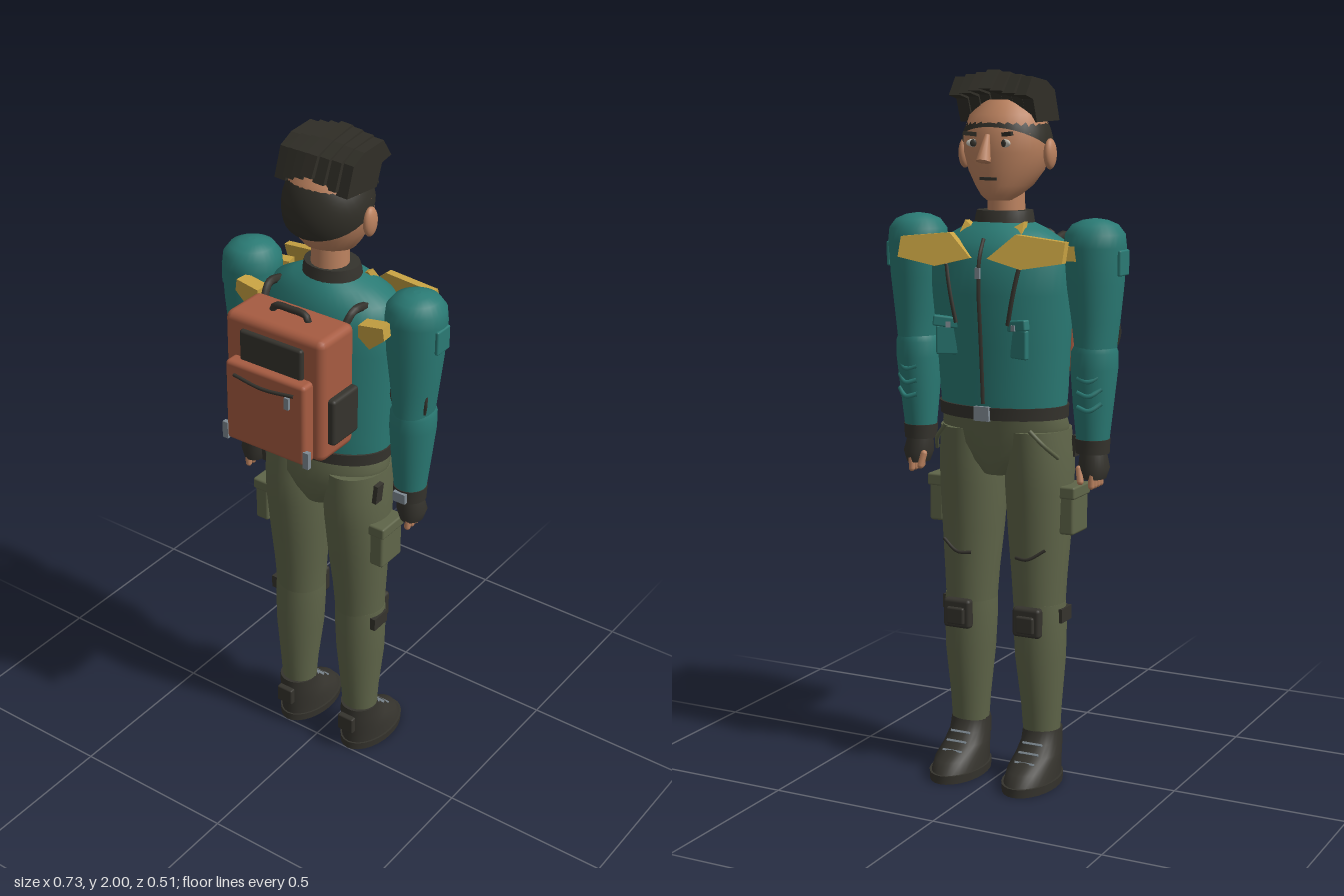
import * as THREE from 'three';
import { RoundedBoxGeometry } from 'three/addons/geometries/RoundedBoxGeometry.js';

const mat = (name, color) => Object.assign(new THREE.MeshStandardMaterial({ color }), { name });

// Smooth body from elliptical rings, low to high: [y, rx, rz, cx, cz]
function loft(rings, n = 28) {
  const pos = [], idx = [];
  const ring = ([y, rx, rz, cx, cz]) => {
    for (let j = 0; j < n; j++) {
      const a = (j / n) * Math.PI * 2;
      pos.push(cx + rx * Math.cos(a), y, cz + rz * Math.sin(a));
    }
  };
  rings.forEach(ring);
  for (let i = 0; i < rings.length - 1; i++) for (let j = 0; j < n; j++) {
    const a = i * n + j, b = i * n + (j + 1) % n;
    idx.push(a, a + n, b, b, a + n, b + n);
  }
  for (const top of [false, true]) {
    const r = top ? rings[rings.length - 1] : rings[0], s = pos.length / 3;
    ring(r);
    pos.push(r[3], r[0], r[4]);
    for (let j = 0; j < n; j++) {
      const a = s + j, b = s + (j + 1) % n;
      top ? idx.push(s + n, b, a) : idx.push(s + n, a, b);
    }
  }
  const g = new THREE.BufferGeometry();
  g.setAttribute('position', new THREE.Float32BufferAttribute(pos, 3));
  g.setIndex(idx);
  g.computeVertexNormals();
  return g;
}

const TORSO = [[1.07, .185, .123, 0, -.075], [1.13, .19, .128, 0, -.075], [1.25, .197, .132, 0, -.078],
  [1.4, .208, .14, 0, -.085], [1.49, .208, .138, 0, -.085], [1.54, .185, .122, 0, -.08],
  [1.575, .12, .095, 0, -.075], [1.595, .07, .07, 0, -.07]];

// Depth of the jacket's chest at a given x and y
function chestZ(x, y) {
  let i = 0;
  while (i < TORSO.length - 2 && TORSO[i + 1][0] < y) i++;
  const a = TORSO[i], b = TORSO[i + 1], t = (y - a[0]) / (b[0] - a[0]);
  const L = k => a[k] + (b[k] - a[k]) * t;
  return L(4) - L(2) * Math.sqrt(Math.max(0, 1 - (x / L(1)) ** 2));
}

export function createModel() {
  const model = new THREE.Group();
  const teal = mat('jacketTeal', 0x2a7a74), skin = mat('skin', 0xbc825f), olive = mat('trouserOlive', 0x5f6549),
    dark = mat('darkLeather', 0x35332d), hair = mat('hairBlack', 0x302e27), rust = mat('packRust', 0xa65b41),
    gold = mat('gold', 0xc6a142), steel = mat('steel', 0x7f8a92), white = mat('eyeWhite', 0xc9c6bb);

  const add = (name, geo, m, x = 0, y = 0, z = 0, rx = 0, ry = 0, rz = 0) => {
    const mesh = new THREE.Mesh(geo, m);
    mesh.name = name;
    mesh.position.set(x, y, z);
    mesh.rotation.set(rx, ry, rz);
    model.add(mesh);
    return mesh;
  };
  const box = (w, h, d) => new THREE.BoxGeometry(w, h, d);
  const rbox = (w, h, d, r) => new RoundedBoxGeometry(w, h, d, 2, r);
  const ball = (x, y, z) => new THREE.SphereGeometry(1, 20, 14).scale(x, y, z);
  const tube = (pts, r) => new THREE.TubeGeometry(
    new THREE.CatmullRomCurve3(pts.map(p => new THREE.Vector3(...p))), 14, r, 6);
  const plate = (pts, d) => new THREE.ExtrudeGeometry(
    new THREE.Shape(pts.map(p => new THREE.Vector2(...p))), { depth: d, bevelEnabled: false });

  // Torso, belt, collar and pelvis
  add('jacket', loft(TORSO, 40), teal);
  add('belt', loft([[1.055, .19, .13, 0, -.074], [1.09, .192, .132, 0, -.075]], 40), dark);
  add('buckle', box(.045, .04, .012), steel, 0, 1.073, -.208);
  add('collar', loft([[1.565, .088, .08, 0, -.07], [1.6, .084, .074, 0, -.07], [1.622, .08, .068, 0, -.068]]), dark);
  add('pelvis', loft([[.89, .06, .085, 0, -.06], [.93, .11, .105, 0, -.06], [.98, .185, .116, 0, -.06],
    [1.03, .19, .12, 0, -.065], [1.065, .182, .12, 0, -.072]], 32), olive);
  add('zip', tube([1.1, 1.2, 1.3, 1.42, 1.5, 1.55].map(y => [0, y, chestZ(0, y) - .002]), .006), dark);
  add('zipPull', box(.014, .03, .008), steel, 0, 1.46, -.231);

  // Head and face
  add('neck', new THREE.CylinderGeometry(.05, .055, .14, 20), skin, 0, 1.64, -.06);
  add('head', loft([[1.65, .035, .04, 0, -.1], [1.665, .055, .062, 0, -.09], [1.69, .078, .09, 0, -.07],
    [1.73, .104, .108, 0, -.058], [1.78, .121, .117, 0, -.053], [1.83, .122, .117, 0, -.053],
    [1.88, .105, .1, 0, -.053], [1.92, .06, .06, 0, -.053]], 32), skin);
  add('nose', new THREE.CylinderGeometry(.008, .021, .075, 8), skin, 0, 1.792, -.184, .32);
  add('noseTip', ball(.019, .012, .018), skin, 0, 1.764, -.19);
  add('mouth', box(.05, .008, .008), dark, 0, 1.71, -.167);
  for (const s of [-1, 1]) {
    add('ear', ball(.016, .042, .026), skin, s * .131, 1.775, -.055);
    add('eye', ball(.021, .011, .006), white, s * .047, 1.805, -.161, 0, s * .35);
    add('pupil', ball(.009, .01, .004), dark, s * .046, 1.805, -.166, 0, s * .35);
    add('eyebrow', box(.052, .011, .01), hair, s * .05, 1.829, -.163, 0, s * .38, s * .1);
  }

  // Cropped hair sloping from nape to forehead, with a row of swept tufts
  const cap = new THREE.SphereGeometry(1, 32, 14, 0, Math.PI * 2, 0, Math.PI / 2)
    .rotateX(.42).scale(.128, .142, .124);
  hair.side = THREE.DoubleSide;
  add('hairCap', cap, hair, 0, 1.79, -.052);
  for (let i = 0; i < 7; i++) {
    const x = (i - 3) * .033, d = Math.abs(i - 3), k = d * .006;
    const g = plate([[-.045 + k, 1.9 - d * .012], [-.02 + k, 1.955 - k * .5], [.04, 1.98 - k * .5], [.115, 2 - k],
      [.165 - k, 1.95 - k], [.11, 1.94 - k], [.09, 1.89 - d * .01]], .038);
    g.translate(0, 0, -.019).rotateY(Math.PI / 2);
    add('hairTuft', g, hair, x, 0, 0, 0, -.1 , 0);
  }

  for (const s of [-1, 1]) {
    // Arm
    add('upperArm', loft([[1.25, .056, .066, s * .277, -.068], [1.33, .066, .07, s * .277, -.068],
      [1.43, .079, .078, s * .275, -.069], [1.53, .086, .084, s * .274, -.07], [1.565, .082, .081, s * .274, -.07],
      [1.59, .063, .063, s * .274, -.07], [1.602, .035, .035, s * .274, -.07], [1.606, .01, .01, s * .274, -.07]]), teal);
    add('forearm', loft([[1, .046, .045, s * .271, -.07], [1.1, .056, .058, s * .272, -.07],
      [1.2, .065, .068, s * .274, -.07], [1.245, .064, .068, s * .275, -.07], [1.262, .056, .064, s * .276, -.07]]), teal);
    for (const y of [1.09, 1.13, 1.17]) add('sleeveFold', tube([[s * .315, y + .02, -.112], [s * .285, y, -.132],
      [s * .25, y + .008, -.128]], .007), teal);
    for (const [x, o] of [[.328, .006], [.228, -.006]])
      add('elbowSeam', tube([[s * x, 1.34, -.045], [s * (x + o), 1.3, -.037], [s * x, 1.265, -.04]], .005), dark);
    add('armPatch', rbox(.012, .07, .06, .005), teal, s * .357, 1.49, -.07);
    add('cuff', loft([[.965, .047, .046, s * .271, -.07], [1.005, .049, .048, s * .271, -.07]]), dark);
    add('wristClasp', box(.04, .03, .012), steel, s * .27, .985, -.02);
    // Hand
    add('glove', loft([[.895, .032, .038, s * .278, -.073], [.925, .044, .043, s * .277, -.073],
      [.968, .037, .038, s * .273, -.07]]), dark);
    for (let i = 0; i < 4; i++)
      add('finger', new THREE.CapsuleGeometry(.0095, .03, 4, 8), skin, s * .283, .892, -.044 - i * .02);
    add('thumb', new THREE.CapsuleGeometry(.01, .035, 4, 8), skin, s * .248, .905, -.105, .2, 0, s * .2);

    // Leg
    add('thigh', loft([[.51, .074, .073, s * .108, -.068], [.6, .079, .08, s * .107, -.066],
      [.72, .089, .09, s * .105, -.061], [.85, .096, .104, s * .104, -.058],
      [.94, .095, .112, s * .103, -.058], [1.02, .09, .113, s * .1, -.062]]), olive);
    add('shin', loft([[.13, .053, .05, s * .115, -.065], [.22, .058, .059, s * .114, -.065],
      [.36, .072, .074, s * .112, -.068], [.47, .077, .075, s * .11, -.068], [.525, .075, .073, s * .109, -.068]]), olive);
    add('cargoPocket', rbox(.045, .13, .1, .008), olive, s * .205, .795, -.052);
    add('cargoFlap', rbox(.055, .035, .108, .006), olive, s * .205, .85, -.052);
    add('hipPouch', box(.014, .06, .03), dark, s * .196, .97, -.02, 0, 0, s * -.1);
    add('pocketSeam', tube([[s * .13, 1.03, -.178], [s * .165, .99, -.162], [s * .19, .95, -.12]], .006), olive);
    add('thighCrease', tube([[s * .16, .69, -.137], [s * .11, .66, -.15], [s * .07, .66, -.142]], .005), dark);
    add('kneePad', rbox(.085, .085, .03, .01), dark, s * .11, .48, -.148);
    add('kneePlate', rbox(.055, .05, .02, .006), dark, s * .11, .475, -.162);
    add('kneeStrap', box(.018, .04, .065), dark, s * .181, .492, -.06);

    // Boot
    add('sole', loft([[0, .074, .127, s * .116, -.127], [.024, .076, .127, s * .116, -.127]]), dark);
    add('boot', loft([[.024, .07, .121, s * .116, -.126], [.055, .067, .112, s * .116, -.115],
      [.085, .062, .083, s * .116, -.085], [.115, .058, .064, s * .116, -.066], [.152, .056, .057, s * .116, -.06]]), dark);
    add('heelTab', rbox(.055, .055, .02, .005), dark, s * .116, .105, .006);
    for (let i = 0; i < 3; i++)
      add('lace', box(.06, .006, .008), steel, s * .116, .075 + i * .021, -.178 + i * .025, .6);

    // Gold chest yoke, collar tabs and rear shoulder tabs
    const yoke = plate([[.025, 1.5], [.1, 1.565], [.25, 1.55], [.25, 1.495], [.13, 1.475]].map(p => [s * p[0], p[1]]), .024);
    const tab = plate([[.03, 1.54], [.055, 1.575], [.09, 1.595], [.095, 1.565], [.075, 1.53]].map(p => [s * p[0], p[1]]), .025);
    for (const [g, z, slope] of [[yoke, -.22, .35], [tab, -.185, .7]]) {
      const p = g.attributes.position;
      for (let i = 0; i < p.count; i++) p.setZ(i, p.getZ(i) + z + (p.getY(i) - 1.52) * slope);
      g.computeVertexNormals();
    }
    add('chestYoke', yoke, gold);
    add('collarTab', tab, gold);
    add('sideTab', box(.065, .04, .035), gold, s * .225, 1.515, -.137, 0, s * -.2);
    add('rearTab', plate([[.165, 1.525], [.24, 1.535], [.245, 1.5], [.2, 1.462], [.165, 1.49]]
      .map(p => [s * p[0], p[1]]), .045), gold, 0, 0, .012, 0, s * .06);

    // Chest zips and pockets
    add('chestZip', tube([1.5, 1.44, 1.38, 1.32].map((y, i) => {
      const x = s * (.115 - i * .012);
      return [x, y, chestZ(x, y) - .002];
    }), .006), dark);
    add('chestZipPull', box(.014, .022, .01), steel, s * .115, 1.49, chestZ(.115, 1.49) - .006);
    const turn = s * -.38 * -1;
    add('chestPocket', rbox(.085, .08, .016, .005), teal, s * .1, 1.27, chestZ(.1, 1.27) - .002, 0, turn);
    add('pocketFlap', rbox(.095, .03, .022, .005), teal, s * .1, 1.32, chestZ(.1, 1.32) - .004, 0, turn, s * .12);
    add('pocketButton', box(.014, .016, .008), steel, s * .1, 1.315, chestZ(.1, 1.315) - .017, 0, turn);

    // Backpack side pouches, straps and buckles
    add('sidePouch', rbox(.03, .14, .115, .01), dark, s * .169, 1.285, .118);
    add('packStrap', tube([[s * .13, 1.5, .07], [s * .14, 1.55, .03], [s * .14, 1.54, -.04]], .012), dark);
    add('packBuckle', box(.018, .05, .014), steel, s * .136, 1.188, .234);
  }

  // Backpack
  add('backpack', rbox(.325, .37, .15, .022), rust, 0, 1.348, .125);
  add('packPocket', rbox(.264, .245, .05, .012), rust, 0, 1.288, .215);
  add('packPanel', rbox(.205, .1, .03, .008), dark, 0, 1.448, .198);
  add('pocketZip', tube([[-.1, 1.375, .242], [0, 1.368, .249], [.1, 1.375, .242]], .005), dark);
  add('pocketZipPull', box(.014, .035, .01), steel, .082, 1.352, .248);
  add('packHandle', tube([[-.06, 1.525, .12], [-.05, 1.548, .12], [0, 1.552, .12], [.05, 1.548, .12],
    [.06, 1.525, .12]], .01), dark);
  return model;
}
